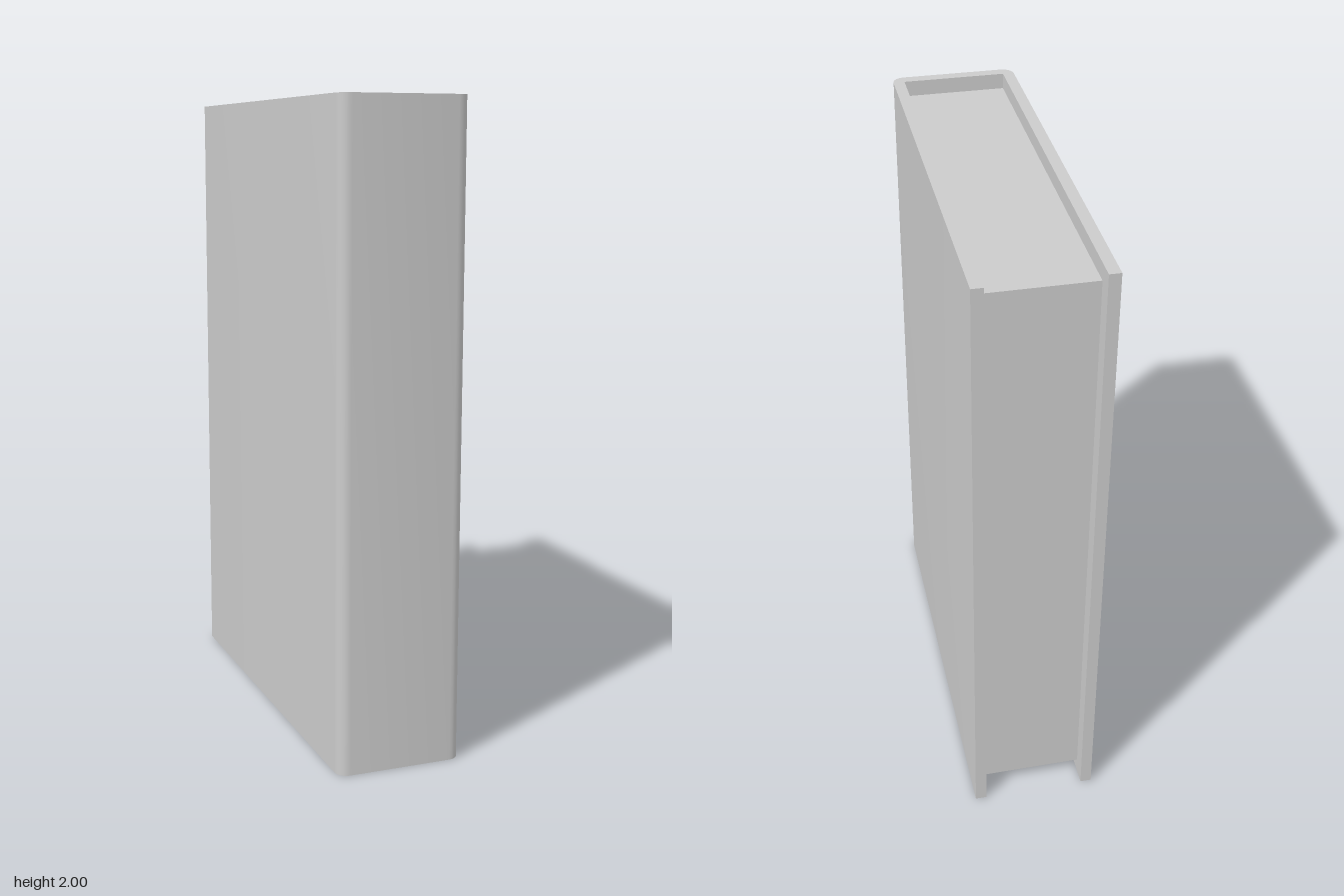
import * as THREE from 'three';
import { toCreasedNormals } from 'three/addons/utils/BufferGeometryUtils.js';

const HEIGHT = 2, HALF_W = 0.2, HALF_D = 0.677;
const BOARD = 0.036;     // cover thickness
const RADIUS = 0.037;    // rounded spine corners
const INSET = 0.05;      // pages sit back from the cover edges

export function createModel() {
  const group = new THREE.Group();
  group.name = 'book';
  const material = new THREE.MeshStandardMaterial({ color: 0xcccccc });

  // Cover: U-shaped outline (shape y is -z) with the spine at the front
  const inner = HALF_W - BOARD;
  const s = new THREE.Shape();
  s.moveTo(-HALF_W, HALF_D);
  s.lineTo(-HALF_W, -HALF_D + RADIUS);
  s.absarc(-HALF_W + RADIUS, -HALF_D + RADIUS, RADIUS, Math.PI, 1.5 * Math.PI, false);
  s.absarc(HALF_W - RADIUS, -HALF_D + RADIUS, RADIUS, 1.5 * Math.PI, 2 * Math.PI, false);
  s.lineTo(HALF_W, HALF_D);
  s.lineTo(inner, HALF_D);
  s.lineTo(inner, -HALF_D + BOARD);
  s.lineTo(-inner, -HALF_D + BOARD);
  s.lineTo(-inner, HALF_D);
  s.closePath();
  const coverGeometry = new THREE.ExtrudeGeometry(s, { depth: HEIGHT, bevelEnabled: false, curveSegments: 3 });
  coverGeometry.rotateX(-Math.PI / 2);
  const cover = new THREE.Mesh(toCreasedNormals(coverGeometry, 0.7), material);
  cover.name = 'cover';
  group.add(cover);

  // Page block, recessed at top, bottom and back
  const zBack = -0.623, zFront = HALF_D - BOARD;
  const pages = new THREE.Mesh(
    new THREE.BoxGeometry(2 * inner, HEIGHT - 2 * INSET, zFront - zBack), material);
  pages.position.set(0, HEIGHT / 2, (zFront + zBack) / 2);
  pages.name = 'pages';
  group.add(pages);

  return group;
}
